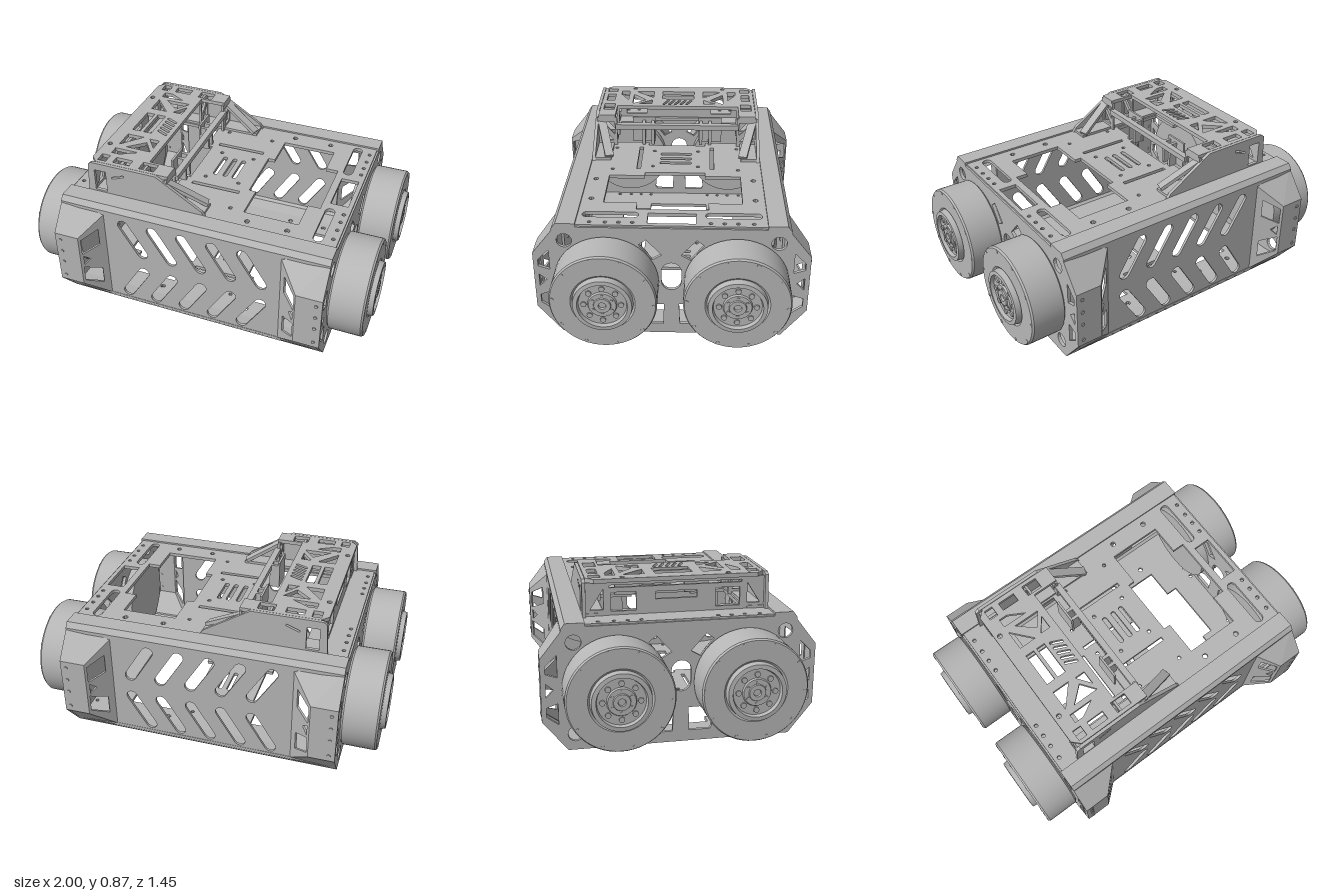
import * as THREE from 'three';
import { toCreasedNormals } from 'three/addons/utils/BufferGeometryUtils.js';

const metal = new THREE.MeshStandardMaterial({ color: 0xb6b6b6, side: THREE.DoubleSide });
metal.name = 'bare metal grey';

function add(parent, name, geometry) {
  const mesh = new THREE.Mesh(geometry, metal);
  mesh.name = name;
  parent.add(mesh);
  return mesh;
}
const box = (parent, name, x0, x1, y0, y1, z0, z1) =>
  add(parent, name, new THREE.BoxGeometry(x1 - x0, y1 - y0, z1 - z0)
    .translate((x0 + x1) / 2, (y0 + y1) / 2, (z0 + z1) / 2));

// Hole outlines
const rect = (a, b, c, d) => [[a, c], [b, c], [b, d], [a, d]];
const circle = (x, y, r, n = 16) => Array.from({ length: n }, (_, i) =>
  [x + r * Math.cos(i / n * 2 * Math.PI), y + r * Math.sin(i / n * 2 * Math.PI)]);
function slot(x0, y0, x1, y1, r) {
  const a = Math.atan2(y1 - y0, x1 - x0), pts = [];
  for (let i = 0; i <= 8; i++) pts.push([x1 + r * Math.cos(a - Math.PI / 2 + i * Math.PI / 8), y1 + r * Math.sin(a - Math.PI / 2 + i * Math.PI / 8)]);
  for (let i = 0; i <= 8; i++) pts.push([x0 + r * Math.cos(a + Math.PI / 2 + i * Math.PI / 8), y0 + r * Math.sin(a + Math.PI / 2 + i * Math.PI / 8)]);
  return pts;
}
const flipX = (list) => list.concat(list.map((h) => h.map(([x, y]) => [-x, y])));
const flipY = (list) => list.concat(list.map((h) => h.map(([x, y]) => [x, -y])));

function sheet(outline, holes, depth) {
  const vec = (pts) => pts.map(([x, y]) => new THREE.Vector2(x, y));
  const shape = new THREE.Shape(vec(outline));
  for (const h of holes) shape.holes.push(new THREE.Path(vec(h)));
  return new THREE.ExtrudeGeometry(shape, { depth, bevelEnabled: false });
}
// Horizontal plate drawn in (x, z), its top at y
const deck = (outline, holes, y, t) => sheet(outline, holes, t).rotateX(Math.PI / 2).translate(0, y, 0);
// Upright plate drawn in (z, y), running from x towards -x
const wall = (outline, holes, x, t) => sheet(outline, holes, t).rotateY(-Math.PI / 2).translate(x, 0, 0);

function buildHull(hull) {
  // Main decks with two big cut-outs and a slotted bridge between them
  const opening = [[.22, -.37], [.53, -.37], [.53, -.19], [.6, -.19], [.6, .19], [.53, .19],
    [.53, .37], [.22, .37], [.22, .17], [.18, .17], [.18, -.17], [.22, -.17]];
  const common = flipX([opening]);
  for (const x of [-.06, 0, .055]) common.push(slot(x, -.08, x, .08, .013));
  common.push(...flipY([rect(-.15, .135, .2, .222)]));
  const bolts = [];
  for (const z of [.2, .27, .34, .42]) bolts.push(circle(.735, z, .011, 8));
  bolts.push(circle(.49, .44, .015, 8), circle(.265, .44, .015, 8), circle(.14, .36, .011, 8), circle(.1, .13, .011, 8));
  const boltHoles = flipX(flipY(bolts));
  const edgeSlots = [...flipY([slot(.658, .2, .658, .44, .027)]), rect(.64, .74, -.125, .125)];
  const plan = rect(-.765, .765, -.5, .5);
  add(hull, 'top deck', deck(plan, [...common, ...boltHoles, ...edgeSlots], .67, .02));
  add(hull, 'bottom deck', deck(rect(-.775, .775, -.585, .585), [...common, ...boltHoles], .02, .02));

  // Long side panels with chevron slots
  const slots = [];
  for (let i = 0; i < 5; i++) {
    const x = -.4 + i * .175;
    slots.push(slot(x, .575, x + .108, .402, .032), slot(x, .088, x + .108, .262, .032));
  }
  const face = [[-.53, .02], [.53, .02], [.53, .65], [-.53, .65]];
  for (const s of [1, -1]) {
    add(hull, s > 0 ? 'frontPanel' : 'backPanel', sheet(face, slots, .015).translate(0, 0, s > 0 ? .595 : -.61));
    add(hull, 'topRail', wall([[.49, .655], [.49, .68], [.59, .68], [.612, .65], [.612, .63], [.595, .63], [.58, .655]]
      .map(([z, y]) => [z * s, y]), [], .775, 1.55));
    add(hull, 'bottomRail', wall([[.5, 0], [.5, .02], [.58, .03], [.595, .045], [.612, .045], [.612, .03], [.59, 0]]
      .map(([z, y]) => [z * s, y]), [], .775, 1.55));
  }

  // Octagonal end plates
  const octagon = [[-.59, 0], [.59, 0], [.72, .165], [.72, .5], [.595, .66], [-.595, .66], [-.72, .5], [-.72, .165]];
  const half = [circle(.55, .58, .04), circle(.55, .088, .04),
    [[.635, .52], [.695, .46], [.695, .42], [.635, .4]], [[.655, .335], [.695, .37], [.695, .295]],
    [[.635, .26], [.695, .24], [.695, .19], [.635, .145]],
    [[.045, .06], [.155, .06], [.165, .075], [.16, .14], [.1, .19], [.04, .19]].map(([z, y]) => [z, y]),
    [[.05, .5], [.1, .47], [.17, .56], [.13, .59]]];
  const holes = [...flipX(half), slot(0, .335, 0, .4, .052)];
  for (const x of [.775, -.757]) add(hull, 'endPlate', wall(octagon, holes, x, .018));
}

// Corner bumper for the +x +z corner
function buildBumper(group) {
  const A = [.775, .66, .595], B = [.775, .5, .72], C = [.63, .5, .72], D = [.515, .62, .61], E = [.515, .655, .6];
  const F = [.775, .165, .72], G = [.63, .165, .72], H = [.515, .04, .61], I = [.775, 0, .59], J = [.515, .01, .6];
  const tris = [[A, E, D], [A, D, C], [A, C, B], [B, C, G], [B, G, F], [F, G, H], [F, H, I], [I, H, J]];
  const geo = new THREE.BufferGeometry();
  geo.setAttribute('position', new THREE.Float32BufferAttribute(tris.flat(2), 3));
  geo.computeVertexNormals();
  add(group, 'bumperSkin', geo);

  // Slanted inner cheek with triangular windows
  const L = Math.hypot(.115, .11), c = .115 / L, s = .11 / L;
  const windows = [[[.015, .48], [.12, .53], [.12, .42], [.015, .38]],
    [[.02, .3], [.02, .365], [.06, .333]], [[.015, .185], [.12, .135], [.12, .245], [.015, .285]]];
  const cheek = sheet([[0, .165], [L, .04], [L, .62], [0, .5]], windows, .012);
  cheek.applyMatrix4(new THREE.Matrix4().makeBasis(new THREE.Vector3(-c, 0, -s),
    new THREE.Vector3(0, 1, 0), new THREE.Vector3(s, 0, -c)).setPosition(.63, 0, .72));
  add(group, 'bumperCheek', cheek);
  for (const y of [.2, .3, .38, .46])
    add(group, 'rivet', new THREE.CylinderGeometry(.01, .01, .008, 8).rotateX(Math.PI / 2).translate(.742, y, .721));
}

// Wheel motor, axis along +x
function buildWheel(group) {
  const profile = [[0, .70], [.25, .70], [.25, .757], [.262, .775], [.275, .785], [.275, .962], [.268, .972], [.165, .972],
    [.155, .965], [.15, .998], [.128, 1], [.122, .98], [.075, .98], [.07, .99], [.045, .99], [.042, .997], [.02, .997], [.018, .985], [0, .985]];
  const lathe = new THREE.LatheGeometry(profile.map(([r, x]) => new THREE.Vector2(r, x)), 56);
  add(group, 'wheelDrum', toCreasedNormals(lathe.rotateZ(-Math.PI / 2), .5));
  const ring = (name, n, r, size, x, turn) => {
    for (let i = 0; i < n; i++) {
      const a = (i + turn) / n * Math.PI * 2;
      add(group, name, new THREE.CylinderGeometry(size, size, .012, 10).rotateZ(Math.PI / 2)
        .translate(x, r * Math.cos(a), r * Math.sin(a)));
    }
  };
  ring('rimBolt', 10, .258, .01, .968, .4);
  ring('hubBolt', 8, .095, .015, .982, 0);
  ring('axleBolt', 6, .055, .008, .988, 0);
}

function buildCarrier(group) {
  // Trussed upper plate
  const half = [[[-.65, 0], [-.65, .43], [-.61, .47], [-.18, .47], [-.18, .37], [-.33, .37], [-.33, 0]]];
  const outline = [...half[0].slice(1, 6), [-.33, -.37], [-.18, -.37], [-.18, -.47], [-.61, -.47], [-.65, -.43]];
  const holes = flipY([
    [[-.57, .155], [-.47, .155], [-.57, .27]], [[-.43, .16], [-.37, .16], [-.37, .24]],
    [[-.43, .2], [-.37, .28], [-.52, .28]], [[-.57, .31], [-.43, .31], [-.52, .36], [-.57, .36]],
    rect(-.61, -.56, .39, .45), rect(-.5, -.42, .31, .36).map(([x, z]) => [x + .04, z + .015]),
    rect(-.52, -.42, .395, .445), rect(-.36, -.27, .385, .45), circle(-.62, .28, .014, 8)]);
  holes.splice(5, 1);
  holes.splice(13, 1);
  holes.push(rect(-.57, -.52, -.1, .1), rect(-.5, -.45, -.1, .1));
  for (let i = 0; i < 5; i++) holes.push(slot(-.42, -.08 + i * .035, -.365, -.055 + i * .035, .008));
  add(group, 'carrierTop', deck(outline, holes, .865, .022));

  // Side cheeks with vents and sloping tail
  const profile = [[-.66, .67], [-.65, .85], [-.63, .865], [-.245, .865], [.02, .7], [.04, .67]];
  const windows = [rect(-.615, -.545, .69, .82), [[-.355, .79], [-.355, .7], [-.26, .79]],
    [[-.335, .69], [-.22, .69], [-.22, .78]], [[-.345, .82], [-.25, .82], [-.26, .805], [-.345, .805]],
    [[-.19, .79], [-.19, .71], [-.13, .76]], [[-.17, .69], [-.02, .69], [-.1, .75]]];
  for (let i = 0; i < 6; i++) windows.push(slot(-.505, .69 + i * .02, -.44, .715 + i * .02, .006));
  for (const s of [1, -1]) {
    add(group, 'carrierCheek', sheet(profile, windows, .018).translate(0, 0, s > 0 ? .472 : -.49));
    box(group, 'carrierFoot', -.64, .03, .67, .685, s > 0 ? .38 : -.49, s > 0 ? .49 : -.38);

    // Diagonal brace falling inwards to the deck
    const a = new THREE.Vector3(-.22, .835, s * .46), b = new THREE.Vector3(.02, .69, s * .39);
    const brace = add(group, 'diagonalBrace', new THREE.BoxGeometry(.05, .02, a.distanceTo(b)));
    brace.position.copy(a).add(b).multiplyScalar(.5);
    brace.lookAt(b);

    // Cross webs and posts
    for (const x of [-.33, -.18]) add(group, 'crossWeb', wall([[.36, .67], [.48, .67], [.48, .85], [.36, .85]].map(([z, y]) => [z * s, y]),
      [[[.38, .7], [.46, .7], [.46, .79]], [[.375, .74], [.45, .82], [.375, .82]]].map((h) => h.map(([z, y]) => [z * s, y])), x, .014));
    for (const z of [.145, .2]) box(group, 'post', -.25, -.19, .67, .81, s * z - .009, s * z + .009);
    box(group, 'postFace', -.25, -.238, .67, .83, s * .2 - .07, s * .2 + .07);
  }
  // Rear wall and the low crossbar
  add(group, 'carrierRearWall', wall(rect(-.47, .47, .67, .845),
    [rect(-.11, .11, .745, .785), ...flipX([rect(.21, .34, .69, .79), [[.38, .7], [.45, .7], [.38, .81]]]),
      rect(-.35, .35, .815, .828)], -.62, .016));
  box(group, 'crossbar', -.2, -.165, .78, .81, -.37, .37);
}

export function createModel() {
  const model = new THREE.Group();
  model.name = 'fourWheelRover';
  const part = (name) => {
    const g = new THREE.Group();
    g.name = name;
    model.add(g);
    return g;
  };
  buildHull(part('hull'));
  buildCarrier(part('carrier'));
  for (const sx of [1, -1]) for (const sz of [1, -1]) {
    const bumper = part('cornerBumper');
    buildBumper(bumper);
    bumper.scale.set(sx, 1, sz);
    const wheel = part('wheel');
    buildWheel(wheel);
    wheel.position.set(0, .335, sz * .34);
    if (sx < 0) wheel.rotation.y = Math.PI;
  }
  return model;
}
